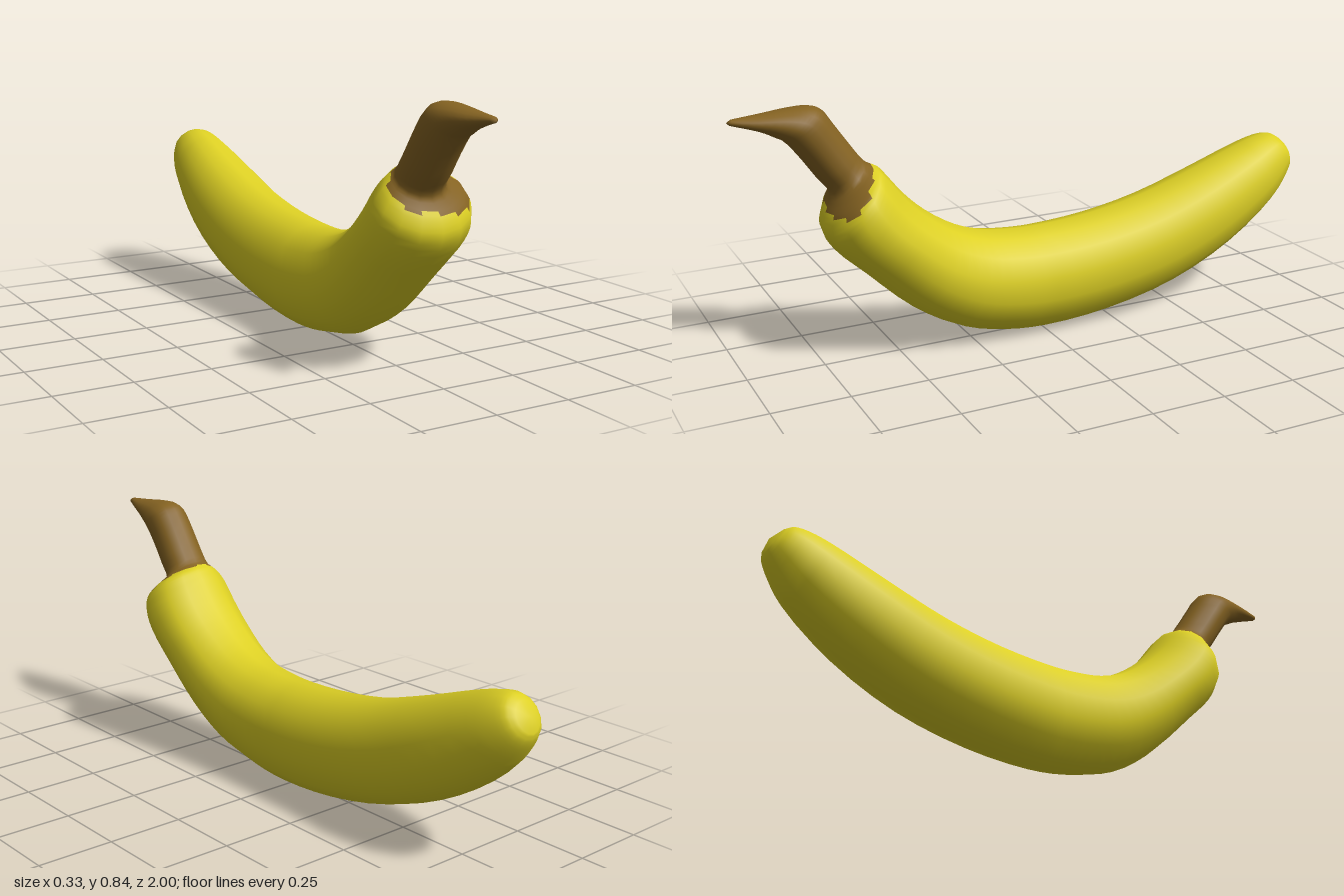
import * as THREE from 'three';

const SIDES = 14;
const STEPS = 3; // rings between two neighbouring sections

// Sections from blossom end to stem tip:
// [upper z, upper y, lower z, lower y, half width, x offset]
const SECTIONS = [
  [-0.945, 0.54, -0.995, 0.455, 0.045, 0],
  [-0.915, 0.555, -0.99, 0.43, 0.07, 0],
  [-0.87, 0.553, -0.965, 0.385, 0.09, 0],
  [-0.80, 0.535, -0.91, 0.315, 0.111, 0],
  [-0.60, 0.465, -0.73, 0.185, 0.14, 0],
  [-0.40, 0.403, -0.50, 0.08, 0.15, 0],
  [-0.20, 0.366, -0.24, 0.02, 0.152, 0],
  [0.00, 0.352, 0.00, 0.002, 0.151, 0],
  [0.10, 0.355, 0.15, 0.015, 0.152, 0],
  [0.20, 0.368, 0.30, 0.055, 0.154, 0],
  [0.30, 0.402, 0.45, 0.145, 0.158, 0],
  [0.40, 0.465, 0.60, 0.283, 0.165, 0],
  [0.47, 0.53, 0.70, 0.38, 0.167, 0],
  [0.525, 0.598, 0.734, 0.44, 0.16, 0],
  [0.55, 0.627, 0.728, 0.49, 0.14, 0],   // shoulder
  [0.57, 0.637, 0.71, 0.53, 0.11, -0.01],
  [0.59, 0.648, 0.702, 0.56, 0.082, -0.02], // stem base
  [0.625, 0.695, 0.74, 0.612, 0.077, -0.022],
  [0.68, 0.775, 0.80, 0.697, 0.076, -0.022],
  [0.712, 0.82, 0.838, 0.74, 0.074, -0.02],
  [0.74, 0.836, 0.86, 0.752, 0.069, -0.02],
  [0.80, 0.837, 0.89, 0.768, 0.058, -0.022],
  [0.90, 0.827, 0.935, 0.785, 0.038, -0.025],
  [0.985, 0.82, 0.99, 0.802, 0.013, -0.027],
];
const SHOULDER = 14 * STEPS;
// Ragged start of the brown, counted in rings from the shoulder, around the fruit from the top
const RAGGED = [3, 3, 2, 0, -1, 0, 1, 2, 1, 2, 2, 4, 3, 4];

// Lofts elliptical sections into one smooth skin with a yellow and a brown group
function bananaSkin() {
  const upper = new THREE.CatmullRomCurve3(SECTIONS.map(s => new THREE.Vector3(s[4], s[1], s[0])));
  const lower = new THREE.CatmullRomCurve3(SECTIONS.map(s => new THREE.Vector3(s[5], s[3], s[2])));
  const last = (SECTIONS.length - 1) * STEPS;
  const positions = [];
  for (let i = 0; i <= last; i++) {
    const u = upper.getPoint(i / last);
    const l = lower.getPoint(i / last);
    for (let k = 0; k < SIDES; k++) {
      const a = (k / SIDES) * Math.PI * 2;
      const c = Math.cos(a) / 2;
      positions.push(
        l.x + u.x * Math.sin(a),
        (u.y + l.y) / 2 + (u.y - l.y) * c,
        (u.z + l.z) / 2 + (u.z - l.z) * c,
      );
    }
  }
  const endCentre = positions.length / 3;
  positions.push(0, 0.502, -0.982);
  positions.push(-0.027, 0.811, 1.0);

  const yellowFaces = [];
  const brownFaces = [];
  for (let k = 0; k < SIDES; k++) {
    const n = (k + 1) % SIDES;
    for (let i = 0; i < last; i++) {
      const a = i * SIDES + k, b = a + SIDES;
      const c = i * SIDES + n, d = c + SIDES;
      const faces = i >= SHOULDER + RAGGED[k] ? brownFaces : yellowFaces;
      faces.push(a, b, c, b, d, c);
    }
    // Closed ends
    yellowFaces.push(endCentre, k, n);
    brownFaces.push(endCentre + 1, last * SIDES + n, last * SIDES + k);
  }

  const geometry = new THREE.BufferGeometry();
  geometry.setAttribute('position', new THREE.Float32BufferAttribute(positions, 3));
  geometry.setIndex([...yellowFaces, ...brownFaces]);
  geometry.addGroup(0, yellowFaces.length, 0);
  geometry.addGroup(yellowFaces.length, brownFaces.length, 1);
  geometry.computeVertexNormals();
  return geometry;
}

export function createModel() {
  const peelYellow = new THREE.MeshStandardMaterial({ color: 0xddd024 });
  peelYellow.name = 'peelYellow';
  const stemBrown = new THREE.MeshStandardMaterial({ color: 0x856322 });
  stemBrown.name = 'stemBrown';

  const group = new THREE.Group();
  group.name = 'banana';
  const skin = new THREE.Mesh(bananaSkin(), [peelYellow, stemBrown]);
  skin.name = 'peelAndStem';
  group.add(skin);
  return group;
}
